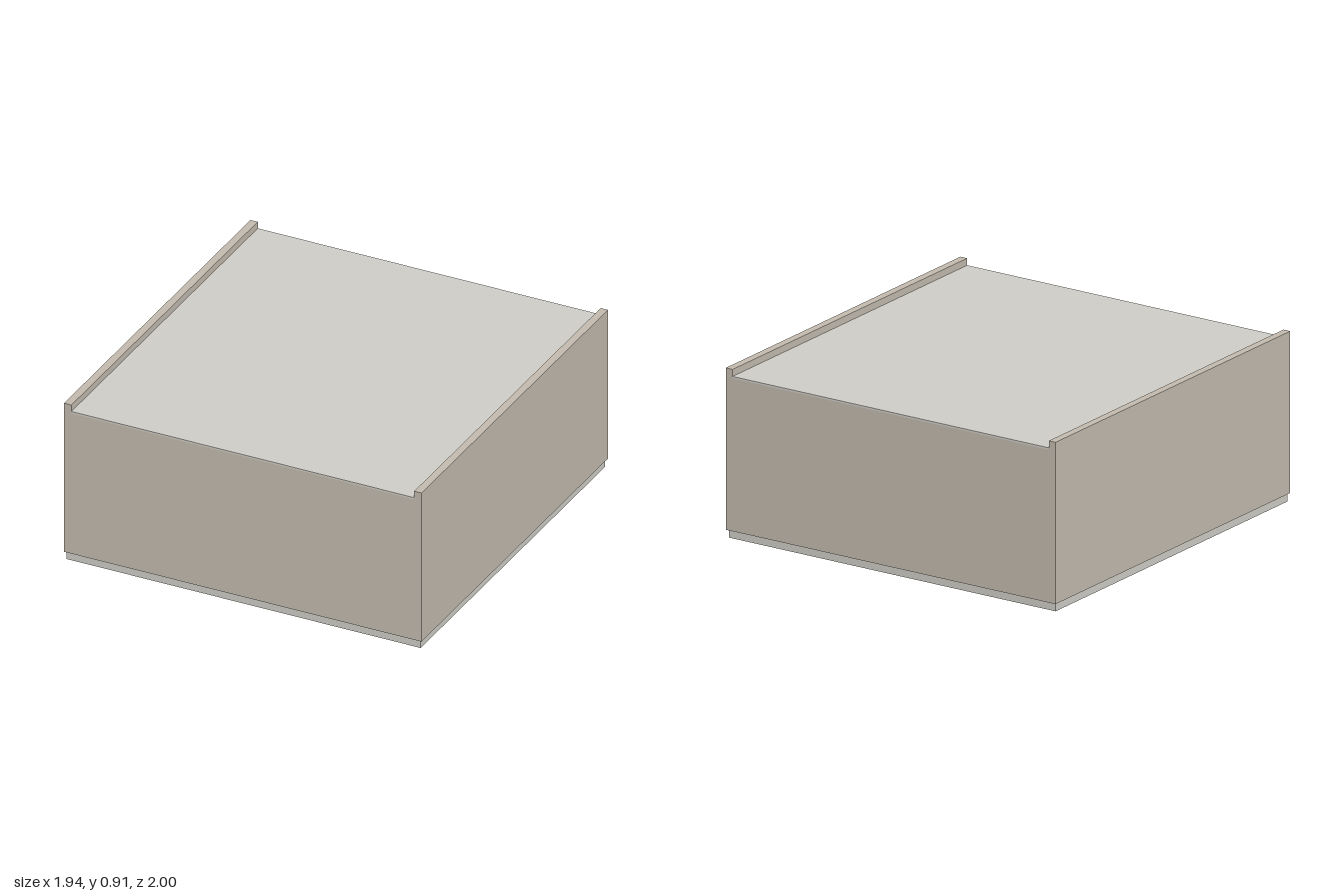
import * as THREE from 'three';
import { RoundedBoxGeometry } from 'three/addons/geometries/RoundedBoxGeometry.js';

export function createModel() {
  const group = new THREE.Group();
  const carcassMat = new THREE.MeshStandardMaterial({ color: 0xc4bcb0 });
  const panelMat = new THREE.MeshStandardMaterial({ color: 0xd0cec7 });
  const handleMat = new THREE.MeshStandardMaterial({ color: 0x808085 });

  const add = (name, geometry, material, x, y, z) => {
    const mesh = new THREE.Mesh(geometry, material);
    mesh.name = name;
    mesh.position.set(x, y, z);
    group.add(mesh);
  };
  // box given by its lower and upper corners
  const board = (name, material, [x0, y0, z0], [x1, y1, z1]) =>
    add(name, new THREE.BoxGeometry(x1 - x0, y1 - y0, z1 - z0), material,
      (x0 + x1) / 2, (y0 + y1) / 2, (z0 + z1) / 2);

  const W = 0.97, D = 1, T = 0.04, bottom = 0.083, top = 0.912, panelTop = 0.876;

  // side boards, standing proud of the recessed panel
  board('leftSide', carcassMat, [W - T, bottom, -D], [W, top, D]);
  board('rightSide', carcassMat, [-W, bottom, -D], [T - W, top, D]);

  // end boards between the sides
  board('frontEnd', carcassMat, [T - W, bottom, D - T], [W - T, panelTop - 0.01, D]);
  board('rearEnd', carcassMat, [T - W, bottom, -D], [W - T, panelTop - 0.01, T - D]);

  // thin recessed panel closing the carcass
  board('recessedPanel', panelMat, [T - W, panelTop - 0.01, -D], [W - T, panelTop, D]);

  // door under the carcass, with a narrow reveal all round
  board('door', panelMat, [-0.96, 0.04, -0.985], [0.96, 0.08, 0.99]);

  // bar handle
  add('handle', new RoundedBoxGeometry(0.265, 0.04, 0.034, 2, 0.004), handleMat, 0, 0.02, 0.787);

  return group;
}
